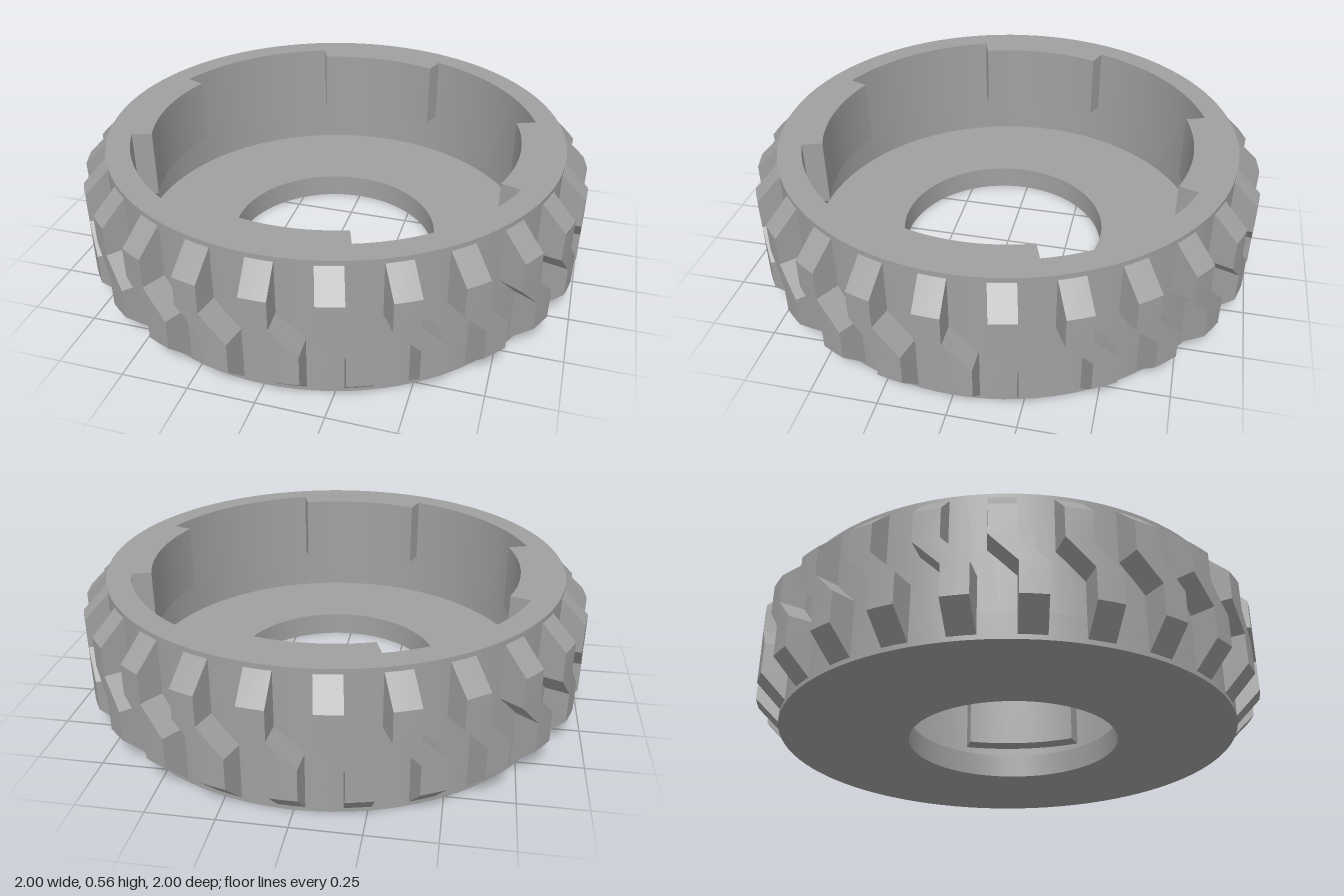
import * as THREE from 'three';
import { toCreasedNormals } from 'three/addons/utils/BufferGeometryUtils.js';

const OUTER = 0.905, INNER = 0.812, LUG = 0.733;
const HEIGHT = 0.555, FLOOR = 0.097, LUG_BOTTOM = 0.28;
const TREADS = 25, HALF_LUG = 0.345;

// Extrude a plan shape upward from height y
function slab(shape, y, depth) {
  const geo = new THREE.ExtrudeGeometry(shape, { depth, bevelEnabled: false, curveSegments: 48 });
  geo.rotateX(-Math.PI / 2).translate(0, y, 0);
  return toCreasedNormals(geo, 0.5);
}

// Zigzag tread block facing +z, lofted through rows of [y, left, right, radius]
function treadGeometry() {
  const rows = [
    [0.018, 0, 0.097, 0.908], [0.11, 0, 0.097, 1], [0.23, 0, 0.097, 1],
    [0.33, -0.1, -0.003, 1], [0.445, -0.1, -0.003, 1], [0.537, -0.1, -0.003, 0.908],
  ].map(([y, l, r, rad]) => {
    const p = (s, q) => [s, y, Math.sqrt(q * q - s * s)];
    return [p(l, 0.885), p(l, rad), p((l + r) / 2, rad), p(r, rad), p(r, 0.885)];
  });
  const pos = [];
  const tri = (a, b, c) => pos.push(...a, ...b, ...c);
  for (let j = 0; j < rows.length - 1; j++) {
    const lo = rows[j], hi = rows[j + 1];
    for (let i = 0; i < 4; i++) {
      tri(lo[i], lo[i + 1], hi[i + 1]);
      tri(lo[i], hi[i + 1], hi[i]);
    }
  }
  const bottom = rows[0], top = rows[rows.length - 1];
  for (let i = 1; i < 4; i++) {
    tri(top[0], top[i], top[i + 1]);
    tri(bottom[0], bottom[i + 1], bottom[i]);
  }
  const geo = new THREE.BufferGeometry();
  geo.setAttribute('position', new THREE.Float32BufferAttribute(pos, 3));
  return toCreasedNormals(geo, 0.3);
}

export function createModel() {
  const model = new THREE.Group();
  model.name = 'tire';
  const rubber = new THREE.MeshStandardMaterial({ color: 0xa0a0a0 });
  rubber.name = 'grey rubber';

  function add(geo, name, parent = model) {
    const mesh = new THREE.Mesh(geo, rubber);
    mesh.name = name;
    parent.add(mesh);
    return mesh;
  }

  // Floor disc with its slightly offset round opening
  const disc = new THREE.Shape().absarc(0, 0, OUTER, 0, Math.PI * 2, false);
  disc.holes.push(new THREE.Path().absarc(0, -0.022, 0.42, 0, Math.PI * 2, true));
  add(slab(disc, 0, FLOOR), 'floor');

  // Cylindrical wall: outside, rim, inside
  const profile = [[OUTER, FLOOR], [OUTER, HEIGHT], [INNER, HEIGHT], [INNER, FLOOR]]
    .map(([x, y]) => new THREE.Vector2(x, y));
  add(toCreasedNormals(new THREE.LatheGeometry(profile, 96), 0.5), 'wall');

  // Four curved lugs hanging inside the rim
  const lugs = new THREE.Group();
  lugs.name = 'innerLugs';
  model.add(lugs);
  const arc = new THREE.Shape();
  arc.absarc(0, 0, INNER + 0.006, -HALF_LUG, HALF_LUG, false);
  arc.absarc(0, 0, LUG, HALF_LUG, -HALF_LUG, true);
  arc.closePath();
  const lugGeo = slab(arc, LUG_BOTTOM, HEIGHT - LUG_BOTTOM);
  for (let i = 0; i < 4; i++) add(lugGeo, 'innerLug', lugs).rotation.y = i * Math.PI / 2;

  // Tread blocks around the outside
  const treads = new THREE.Group();
  treads.name = 'treads';
  model.add(treads);
  const treadGeo = treadGeometry();
  for (let i = 0; i < TREADS; i++) {
    add(treadGeo, 'treadBlock', treads).rotation.y = Math.PI / 2 + (i / TREADS) * Math.PI * 2;
  }
  return model;
}
